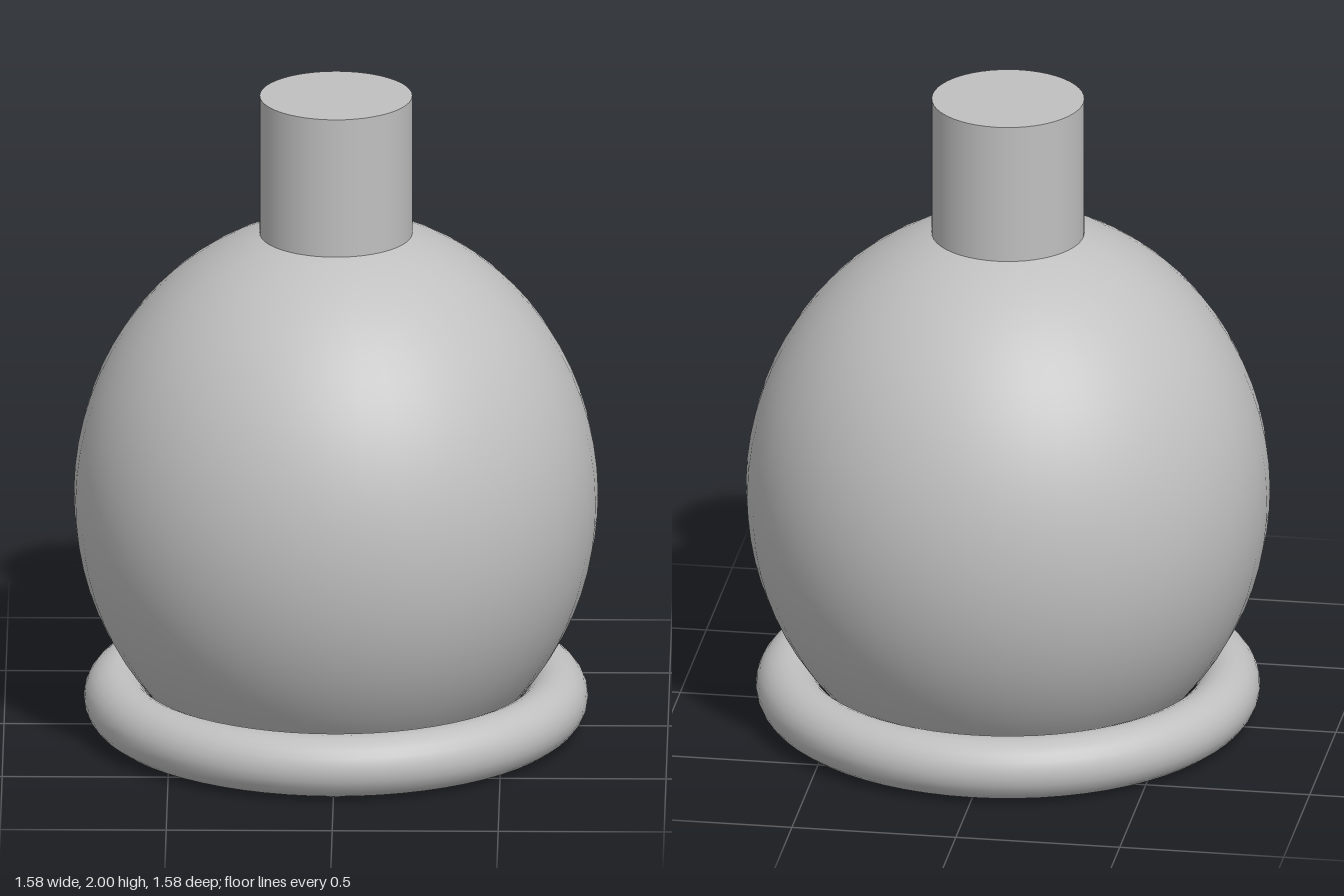
import * as THREE from 'three';

export function createModel() {
  const model = new THREE.Group();
  const grey = new THREE.MeshStandardMaterial({ color: 0xc0c0c0 });
  grey.name = 'light grey';

  const add = (name, geometry, y) => {
    const mesh = new THREE.Mesh(geometry, grey);
    mesh.name = name;
    mesh.position.y = y;
    model.add(mesh);
    return mesh;
  };

  // Slightly tall globe, cut flat at the bottom
  const radius = 0.79, halfHeight = 0.868, centreY = 0.734, floorY = 0.08;
  const start = Math.asin((floorY - centreY) / halfHeight);
  const profile = [];
  const rings = 28;
  for (let i = 0; i <= rings; i++) {
    const a = start + (Math.PI / 2 - start) * (i / rings);
    profile.push(new THREE.Vector2(i === rings ? 0 : radius * Math.cos(a), centreY + halfHeight * Math.sin(a)));
  }
  add('body', new THREE.LatheGeometry(profile, 48), 0);

  // Flat underside closing the globe
  const underside = new THREE.CircleGeometry(profile[0].x, 48).rotateX(Math.PI / 2);
  add('underside', underside, floorY);

  // Round ring the globe rests in
  add('baseRing', new THREE.TorusGeometry(0.665, 0.095, 24, 64).rotateX(Math.PI / 2), 0.095);

  // Closed straight neck, sunk into the top of the globe
  add('neck', new THREE.CylinderGeometry(0.23, 0.23, 0.5, 48), 1.75);

  return model;
}
